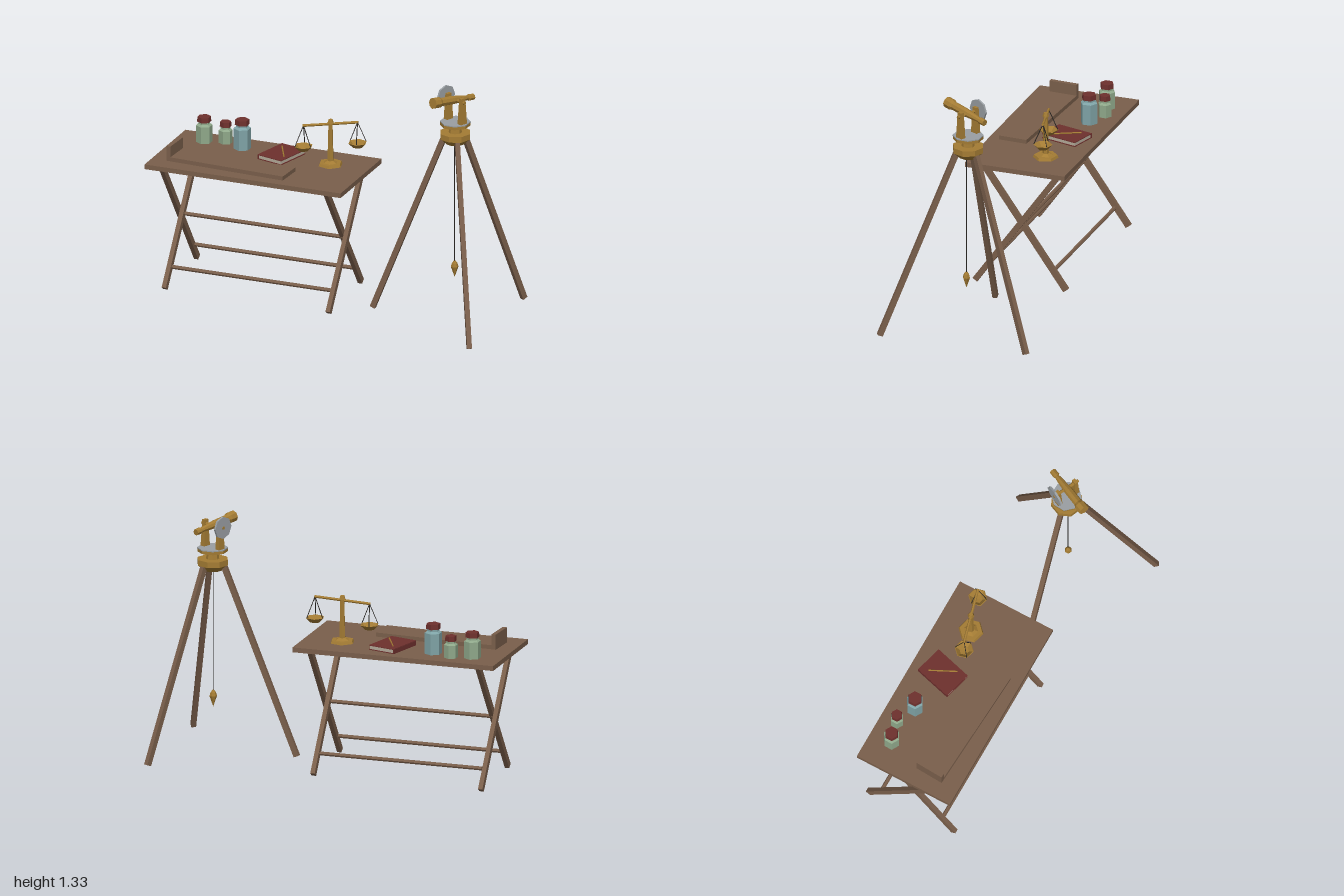
import * as THREE from 'three';

const mat = (name, color) => {
  const m = new THREE.MeshStandardMaterial({ color, flatShading: true });
  m.name = name;
  return m;
};
const V = (x, y, z) => new THREE.Vector3(x, y, z);

export function createModel() {
  const wood = mat('wood', 0x7a5f4b);
  const brass = mat('brass', 0xa47c34);
  const steel = mat('steel', 0x9a9fa3);
  const red = mat('red leather', 0x6e302d);
  const paper = mat('paper', 0xb5ab9a);
  const green = mat('green glass', 0x8fa88a);
  const blue = mat('blue glass', 0x7fa3a6);
  const dark = mat('dark cord', 0x2a2724);

  const model = new THREE.Group();
  const group = (name, x = 0, y = 0, z = 0, ry = 0, parent = model) => {
    const g = new THREE.Group();
    g.name = name;
    g.position.set(x, y, z);
    g.rotation.y = ry;
    parent.add(g);
    return g;
  };
  const add = (parent, name, geo, m, x = 0, y = 0, z = 0) => {
    const mesh = new THREE.Mesh(geo, m);
    mesh.name = name;
    mesh.position.set(x, y, z);
    parent.add(mesh);
    return mesh;
  };
  const box = (p, name, m, w, h, d, x, y, z) => add(p, name, new THREE.BoxGeometry(w, h, d), m, x, y, z);
  // Upright prism from y0 to y1
  const prism = (p, name, m, rTop, rBase, y0, y1, sides, x = 0, z = 0) =>
    add(p, name, new THREE.CylinderGeometry(rTop, rBase, y1 - y0, sides), m, x, (y0 + y1) / 2, z);
  const lathe = (p, name, m, pts, sides) =>
    add(p, name, new THREE.LatheGeometry(pts.map(([r, y]) => new THREE.Vector2(r, y)), sides), m);
  // Square timber between two points; w is its level width
  const beam = (p, name, m, a, b, w, h) => {
    const mesh = box(p, name, m, w, h, a.distanceTo(b), 0, 0, 0);
    mesh.position.copy(a).lerp(b, 0.5);
    mesh.lookAt(b);
    return mesh;
  };
  // Round rod between two points
  const rod = (p, name, m, a, b, r, sides = 6) => {
    const mesh = add(p, name, new THREE.CylinderGeometry(r, r, a.distanceTo(b), sides), m);
    mesh.position.copy(a).lerp(b, 0.5);
    mesh.quaternion.setFromUnitVectors(V(0, 1, 0), b.clone().sub(a).normalize());
    return mesh;
  };

  // Folding table with crossed legs and three stretchers
  const table = group('table');
  box(table, 'tableTop', wood, 1.15, 0.027, 0.575, -0.425, 0.7085, -0.0525);
  for (const x of [-0.907, 0.054]) {
    beam(table, 'tableLeg', wood, V(x + 0.0125, 0.009, 0.205), V(x + 0.0125, 0.69, -0.28), 0.025, 0.032);
    beam(table, 'tableLeg', wood, V(x - 0.0125, 0.009, -0.31), V(x - 0.0125, 0.69, 0.175), 0.025, 0.032);
  }
  for (const [y, z] of [[0.11, 0.13], [0.11, -0.235], [0.355, -0.0525]])
    rod(table, 'stretcher', wood, V(-0.9, y, z), V(0.05, y, z), 0.011);

  // Plank with an upright end board
  const plank = group('plank', -0.56, 0.722, 0.075, -0.054);
  box(plank, 'plankBase', wood, 0.7, 0.023, 0.16, 0, 0.0115, 0);
  box(plank, 'endBoard', wood, 0.024, 0.085, 0.16, -0.338, 0.0425, 0);

  // Book with a pen on its cover
  const book = group('book', -0.362, 0.722, -0.162, -0.26);
  box(book, 'pages', paper, 0.15, 0.02, 0.21, 0, 0.013, 0);
  box(book, 'backCover', red, 0.16, 0.004, 0.218, 0, 0.002, 0);
  box(book, 'frontCover', red, 0.16, 0.004, 0.218, 0, 0.025, 0);
  box(book, 'spine', red, 0.006, 0.025, 0.218, -0.078, 0.0125, 0);
  rod(model, 'pen', brass, V(-0.39, 0.753, -0.235), V(-0.32, 0.753, -0.095), 0.004);

  // Stoppered bottles: x, z, radius, height to shoulder, glass
  for (const [x, z, r, h, glass] of [
    [-0.838, -0.215, 0.046, 0.095, green],
    [-0.725, -0.245, 0.038, 0.072, green],
    [-0.608, -0.198, 0.048, 0.117, blue]]) {
    const bottle = group('bottle', x, 0.722, z);
    lathe(bottle, 'bottleGlass', glass, [[0, 0], [r, 0], [r, h], [r * 0.7, h + 0.01], [r * 0.7, h + 0.024]], 6);
    prism(bottle, 'stopper', red, r * 0.8, r * 0.85, h + 0.022, h + 0.05, 6);
  }

  // Balance scale
  const scale = group('balanceScale', -0.07, 0.722, -0.15, 0.255);
  prism(scale, 'scaleBase', brass, 0.064, 0.07, 0, 0.014, 6);
  prism(scale, 'scaleFoot', brass, 0.02, 0.04, 0.014, 0.026, 6);
  prism(scale, 'scaleColumn', brass, 0.012, 0.018, 0.02, 0.245, 6);
  prism(scale, 'scaleCap', brass, 0.012, 0.019, 0.24, 0.262, 6);
  rod(scale, 'scaleBeam', brass, V(-0.152, 0.218, 0), V(0.152, 0.254, 0), 0.0075);
  for (const s of [-1, 1]) {
    const pan = group('pan', s * 0.148, 0.236 + s * 0.0175, 0, 0, scale);
    lathe(pan, 'panBowl', brass,
      [[0, -0.146], [0.028, -0.143], [0.053, -0.117], [0.05, -0.115], [0.026, -0.138], [0, -0.14]], 6);
    for (let i = 0; i < 3; i++) {
      const a = i * Math.PI * 2 / 3 + (s > 0 ? 0 : Math.PI);
      rod(pan, 'panCord', dark, V(0, 0, 0), V(Math.sin(a) * 0.05, -0.116, Math.cos(a) * 0.05), 0.0025, 4);
    }
  }

  // Tripod legs, head and plumb bob
  const cx = 0.725;
  const tripod = group('tripod');
  for (const [x, z] of [[0.25, 0.021], [0.98, 0.415], [0.952, -0.42]]) {
    const top = V(x - cx, 0, z).setLength(0.062);
    beam(tripod, 'tripodLeg', wood, V(x, 0.007, z), V(cx + top.x, 1.05, top.z), 0.026, 0.03);
  }
  prism(tripod, 'headUnderside', brass, 0.084, 0.05, 1.015, 1.048, 8, cx);
  prism(tripod, 'headPlate', brass, 0.087, 0.087, 1.048, 1.08, 8, cx);
  rod(tripod, 'plumbLine', dark, V(cx, 1.02, 0.01), V(cx, 0.33, 0.01), 0.0025, 4);
  lathe(tripod, 'plumbBob', brass, [[0, 0.245], [0.021, 0.305], [0.015, 0.325], [0.006, 0.338], [0, 0.338]], 6)
    .position.set(cx, 0, 0.01);

  // Surveying instrument, turned on its axis
  const inst = group('instrument', cx, 0, 0, -0.445);
  prism(inst, 'neck', brass, 0.03, 0.036, 1.08, 1.122, 8);
  prism(inst, 'circlePlate', brass, 0.082, 0.082, 1.12, 1.137, 8);
  prism(inst, 'horizontalCircle', steel, 0.084, 0.084, 1.137, 1.143, 8);
  for (const s of [-1, 1]) {
    const post = new THREE.CylinderGeometry(0.02, 0.031, 0.147, 4).rotateY(Math.PI / 4).scale(0.65, 1, 1);
    add(inst, 'post', post, brass, s * 0.056, 1.2165, 0);
  }
  rod(inst, 'axle', brass, V(-0.085, 1.267, 0), V(0.078, 1.267, 0), 0.009);
  rod(inst, 'verticalCircle', steel, V(-0.082, 1.267, 0), V(-0.071, 1.267, 0), 0.062, 8);
  const scope = lathe(inst, 'telescope', brass, [
    [0, -0.13], [0.018, -0.13], [0.019, -0.095], [0.013, -0.092], [0.017, -0.06], [0.024, 0.02],
    [0.024, 0.11], [0.031, 0.125], [0.031, 0.165], [0, 0.165]], 8);
  scope.position.set(0, 1.267, 0);
  scope.rotation.x = Math.PI / 2 - 0.12;

  return model;
}
